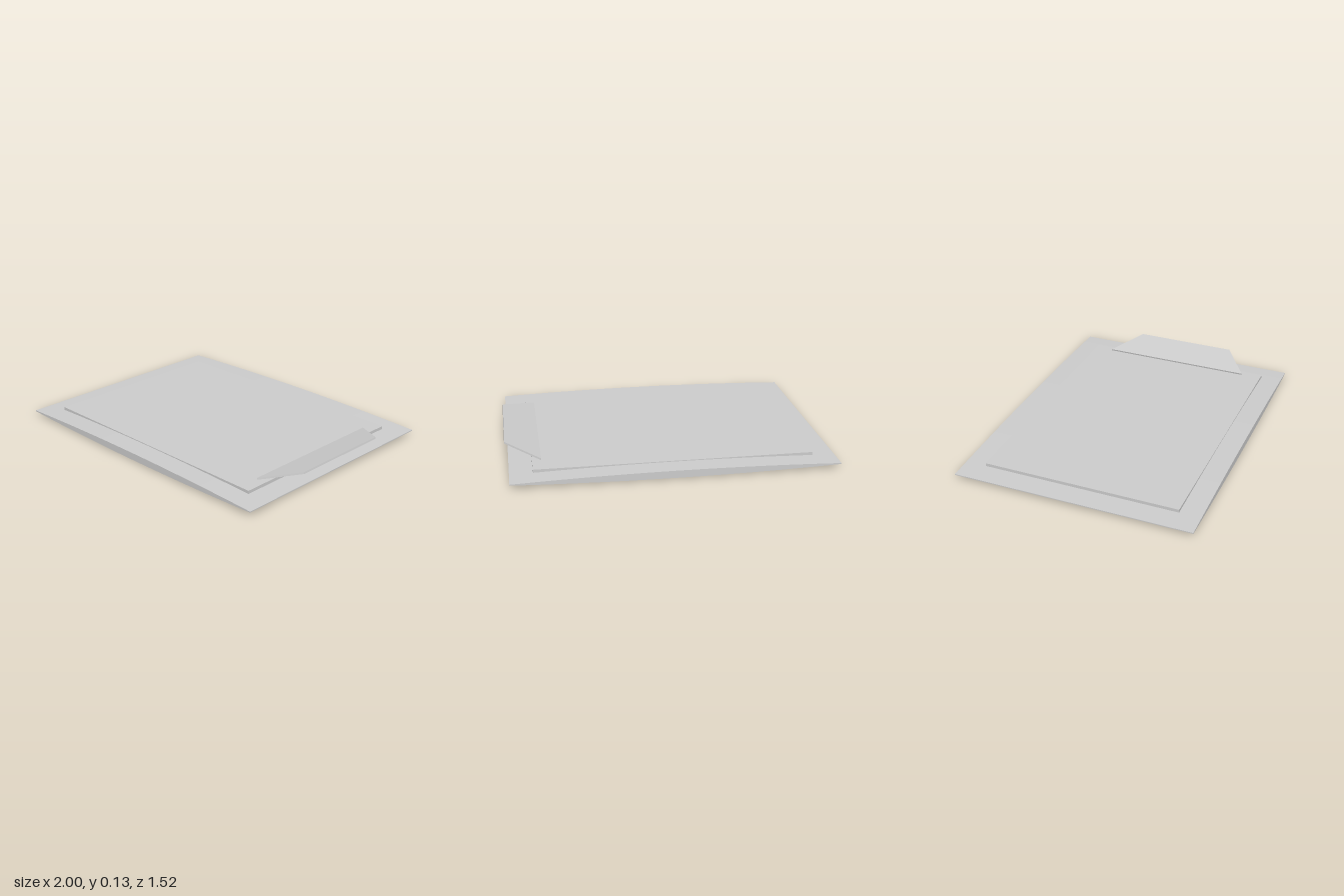
import * as THREE from 'three';

const material = new THREE.MeshStandardMaterial({ color: 0xcccccc });

function addMesh(parent, name, geometry) {
  const mesh = new THREE.Mesh(geometry, material);
  mesh.name = name;
  parent.add(mesh);
  return mesh;
}

// Prism from a flat outline, extruded along z
function prism(points, depth) {
  const shape = new THREE.Shape(points.map(([x, y]) => new THREE.Vector2(x, y)));
  return new THREE.ExtrudeGeometry(shape, { depth, bevelEnabled: false });
}

export function createModel() {
  const model = new THREE.Group();
  model.name = 'panel';
  const midY = 0.03;

  // Lens-section body: thick in the middle, thin at both ends
  const steps = 20, half = 0.99, lower = [], upper = [];
  for (let i = 0; i <= steps; i++) {
    const u = -1 + (2 * i) / steps;
    const h = 0.003 + 0.02 * (1 - u * u);
    lower.push([u * half, -h]);
    upper.unshift([u * half, h]);
  }
  const body = addMesh(model, 'body', prism([...lower, ...upper], 1.52).translate(0, 0, -0.76));
  body.position.set(-0.01, midY, 0);

  // Raised slab passing through the body, showing above and below
  const slab = addMesh(model, 'slab', new THREE.BoxGeometry(1.7, 0.057, 1.25));
  slab.position.set(-0.01, midY - 0.0005, 0);

  // Tilted tapered flap at the +x end
  const flapLength = 0.22;
  const outline = [[0, -0.495], [flapLength, -0.335], [flapLength, 0.335], [0, 0.495]];
  const flap = addMesh(model, 'flap', prism(outline, 0.011).rotateX(-Math.PI / 2));
  flap.rotation.z = Math.atan2(0.056, 0.215);
  flap.position.set(0.787, 0.061, 0);

  return model;
}
